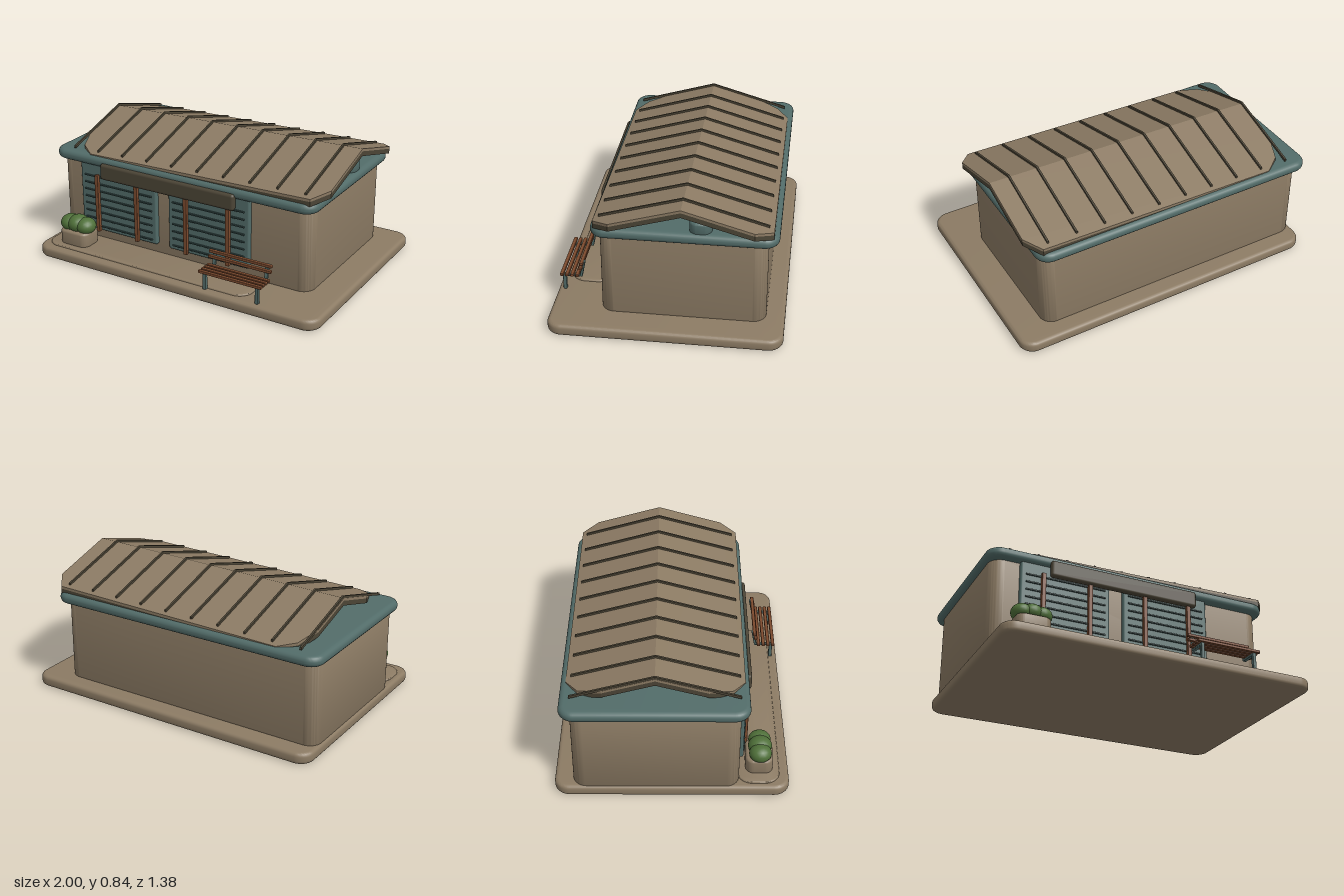
import * as THREE from 'three';
import { toCreasedNormals } from 'three/addons/utils/BufferGeometryUtils.js';
import { RoundedBoxGeometry } from 'three/addons/geometries/RoundedBoxGeometry.js';

const mat = (name, color) => {
  const m = new THREE.MeshStandardMaterial({ color });
  m.name = name;
  return m;
};

export function createModel() {
  const tan = mat('tan', 0x8c7b64);
  const teal = mat('teal', 0x526c69);
  const darkTeal = mat('dark teal', 0x344a48);
  const olive = mat('dark olive', 0x4c4536);
  const wood = mat('wood', 0x7d4b2e);
  const green = mat('leaf green', 0x4f7039);

  const model = new THREE.Group();
  model.name = 'kioskBuilding';
  const add = (name, geometry, material, parent = model) => {
    const mesh = new THREE.Mesh(geometry, material);
    mesh.name = name;
    parent.add(mesh);
    return mesh;
  };
  const group = (name) => {
    const g = new THREE.Group();
    g.name = name;
    model.add(g);
    return g;
  };

  // Horizontal slab with rounded plan corners and bevelled rims, given by its bounds
  function slab(x0, x1, y0, y1, z0, z1, radius, bevel) {
    const w = (x1 - x0) / 2 - bevel, d = (z1 - z0) / 2 - bevel, r = Math.max(radius - bevel, 0.005);
    const s = new THREE.Shape();
    s.absarc(w - r, d - r, r, 0, Math.PI / 2);
    s.absarc(-w + r, d - r, r, Math.PI / 2, Math.PI);
    s.absarc(-w + r, -d + r, r, Math.PI, Math.PI * 1.5);
    s.absarc(w - r, -d + r, r, Math.PI * 1.5, Math.PI * 2);
    const g = new THREE.ExtrudeGeometry(s, {
      depth: y1 - y0 - 2 * bevel, bevelEnabled: true, bevelSize: bevel,
      bevelThickness: bevel, bevelSegments: 4, curveSegments: 8,
    });
    g.rotateX(-Math.PI / 2);
    g.translate((x0 + x1) / 2, y0 + bevel, (z0 + z1) / 2);
    return toCreasedNormals(g, 0.7);
  }

  // Rounded box given by its bounds
  function rbox(x0, x1, y0, y1, z0, z1, r) {
    const g = new RoundedBoxGeometry(x1 - x0, y1 - y0, z1 - z0, 2, r);
    return g.translate((x0 + x1) / 2, (y0 + y1) / 2, (z0 + z1) / 2);
  }

  // Ground, walls and the flat roof rim
  add('base', slab(-0.98, 0.995, 0, 0.07, -0.69, 0.685, 0.09, 0.022), tan);
  add('frontStep', slab(-0.945, 0.52, 0.06, 0.08, 0.38, 0.63, 0.09, 0.008), tan);
  add('walls', slab(-0.97, 0.81, 0.06, 0.6, -0.58, 0.39, 0.08, 0.018), tan);
  add('roofRim', slab(-1, 0.843, 0.58, 0.645, -0.64, 0.44, 0.09, 0.03), teal);
  add('roofVent', slab(0.69, 0.82, 0.625, 0.71, -0.26, -0.13, 0.05, 0.015), teal);

  // Gable roof: each half is a plan outline of [x, distance from ridge], bent to the slope
  const RIDGE = -0.096, SLOPE = 0.29, TILT = 0.021;
  function roofPiece(outline, side, top, thickness) {
    const s = new THREE.Shape(outline.map(([x, d]) => new THREE.Vector2(x, d * side)));
    const g = new THREE.ExtrudeGeometry(s, { depth: thickness, bevelEnabled: false });
    g.rotateX(Math.PI / 2);
    const p = g.attributes.position;
    for (let i = 0; i < p.count; i++) {
      const x = p.getX(i), z = p.getZ(i);
      p.setXYZ(i, x, p.getY(i) + top + TILT * x - SLOPE * Math.abs(z), z + RIDGE);
    }
    g.computeVertexNormals();
    return g;
  }
  const outline = [
    [-0.87, 0], [0.89, 0], [0.89, 0.41], [0.81, 0.513],
    [-0.72, 0.513], [-0.82, 0.44], [-0.87, 0.3],
  ];
  const roof = group('gableRoof');
  for (const side of [1, -1]) {
    add('roofSheet', roofPiece(outline, side, 0.813, 0.016), tan, roof);
    add('roofUnderlay', roofPiece(outline, side, 0.797, 0.03), olive, roof);
    for (let i = 0; i < 10; i++) {
      const x = -0.862 + i * 0.181;
      const strip = [[x - 0.006, 0], [x + 0.006, 0], [x + 0.006, 0.485], [x - 0.006, 0.485]];
      add('roofRib', roofPiece(strip, side, 0.826, 0.016), olive, roof);
    }
  }

  // Two slatted shutters with slim wooden posts
  const front = group('shopFront');
  for (const x0 of [-0.8, -0.145]) {
    add('shutter', rbox(x0, x0 + 0.565, 0.14, 0.6, 0.37, 0.418, 0.012), teal, front);
    for (let i = 0; i < 8; i++) {
      const y = 0.17 + i * 0.048;
      add('shutterSlat', rbox(x0 + 0.03, x0 + 0.535, y - 0.005, y + 0.005, 0.41, 0.426, 0.003), darkTeal, front);
    }
  }
  for (const x of [-0.665, -0.37, -0.01, 0.285]) {
    add('post', rbox(x - 0.013, x + 0.013, 0.14, 0.525, 0.422, 0.446, 0.004), wood, front);
  }
  add('signBoard', rbox(-0.625, 0.335, 0.51, 0.615, 0.418, 0.46, 0.018), olive, front);

  // Planter with a clipped bush
  const planter = group('planter');
  add('planterBox', slab(-0.87, -0.66, 0.07, 0.17, 0.43, 0.592, 0.05, 0.015), tan, planter);
  for (const [x, y, r] of [[-0.825, 0.2, 0.062], [-0.765, 0.205, 0.066], [-0.705, 0.2, 0.062]]) {
    const leaf = add('bush', new THREE.IcosahedronGeometry(r, 3), green, planter);
    leaf.scale.set(1, 0.85, 1.08);
    leaf.position.set(x, y, 0.515);
  }

  // Bench with slatted seat and back
  const bench = group('bench');
  const slat = (name, y, z) =>
    add(name, rbox(0.22, 0.64, y - 0.009, y + 0.009, z - 0.011, z + 0.011, 0.004), wood, bench);
  for (let i = 0; i < 4; i++) slat('seatSlat', 0.185, 0.562 + i * 0.031);
  slat('backSlat', 0.235, 0.541);
  slat('backSlat', 0.267, 0.534);
  for (const x of [0.255, 0.605]) {
    add('benchLeg', rbox(x - 0.011, x + 0.011, 0.07, 0.178, 0.632, 0.654, 0.004), teal, bench);
    add('seatRail', rbox(x - 0.011, x + 0.011, 0.163, 0.178, 0.545, 0.654, 0.004), teal, bench);
    const brace = add('backBrace', new RoundedBoxGeometry(0.022, 0.11, 0.016, 2, 0.004), teal, bench);
    brace.position.set(x, 0.22, 0.532);
    brace.rotation.x = -0.2;
  }
  return model;
}
